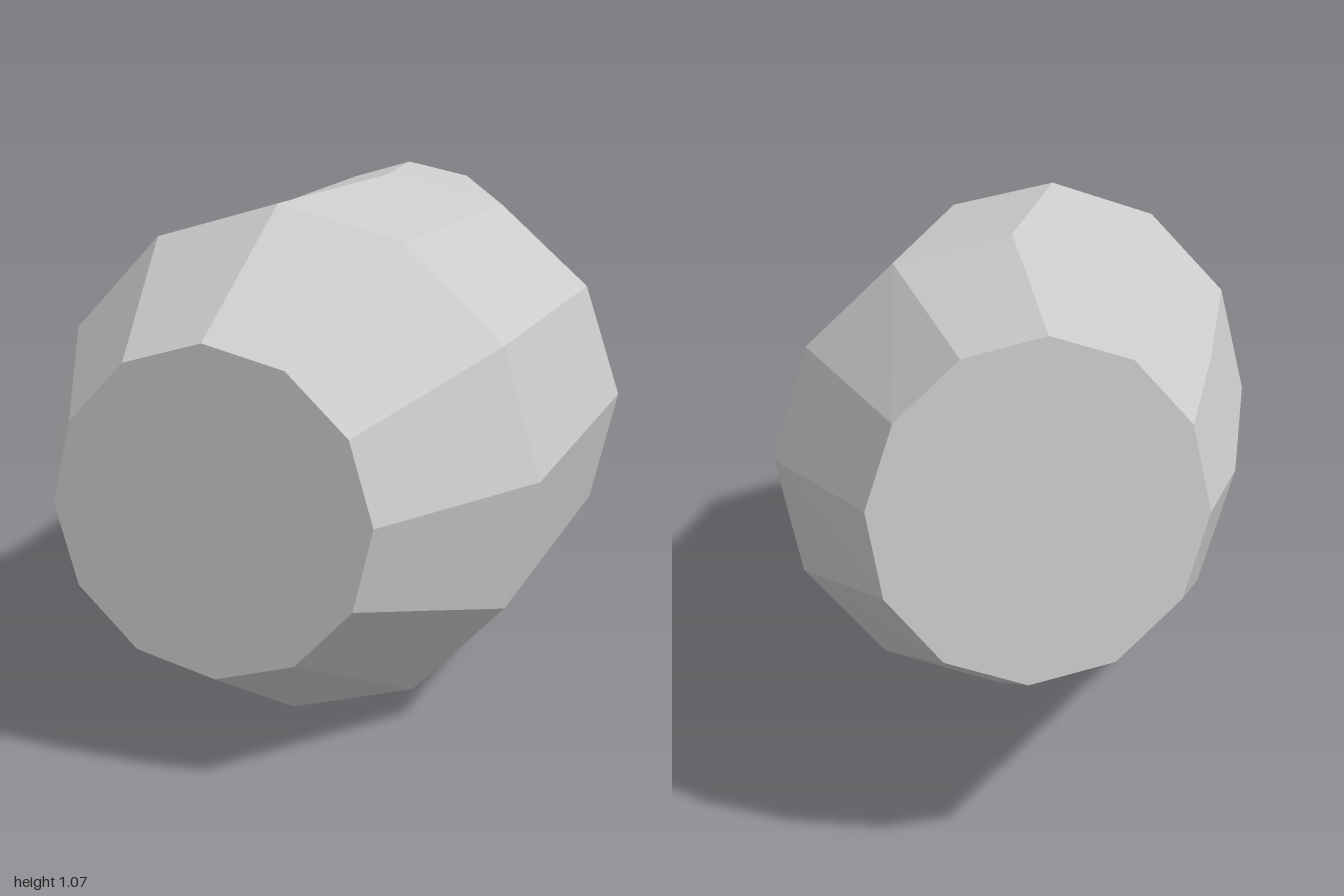
import * as THREE from 'three';

const SIDES = 12;
const TWIST = THREE.MathUtils.degToRad(1);

// Cross-sections from front to back: centre, radius, and slope of z across x and y
const SECTIONS = [
  { x: 0, y: 0.537, z: 1.0, r: 0.322, sx: 0, sy: 0 },
  { x: 0, y: 0.537, z: 0.62, r: 0.535, sx: 0, sy: 0 },
  { x: 0, y: 0.537, z: -0.13, r: 0.535, sx: -0.137, sy: 0.11 },
  { x: -0.19, y: 0.727, z: -0.9, r: 0.313, sx: -0.21, sy: 0.26 },
];

// Points of one tilted ring, counter-clockwise seen from the front
function ringPoints(s) {
  return Array.from({ length: SIDES }, (_, j) => {
    const a = TWIST + (j / SIDES) * Math.PI * 2;
    const dx = Math.cos(a) * s.r;
    const dy = Math.sin(a) * s.r;
    return new THREE.Vector3(s.x + dx, s.y + dy, s.z + s.sx * dx + s.sy * dy);
  });
}

// Unshared triangles give crisp facets
function facetMesh(name, points, material) {
  const geometry = new THREE.BufferGeometry().setFromPoints(points);
  geometry.computeVertexNormals();
  const mesh = new THREE.Mesh(geometry, material);
  mesh.name = name;
  return mesh;
}

// Band of facets between two neighbouring rings
function band(name, front, back, material) {
  const points = [];
  for (let j = 0; j < SIDES; j++) {
    const k = (j + 1) % SIDES;
    points.push(front[j], back[j], front[k], front[k], back[j], back[k]);
  }
  return facetMesh(name, points, material);
}

// Flat end disc
function cap(name, ring, section, facesFront, material) {
  const centre = new THREE.Vector3(section.x, section.y, section.z);
  const points = [];
  for (let j = 0; j < SIDES; j++) {
    const k = (j + 1) % SIDES;
    points.push(centre, ring[facesFront ? j : k], ring[facesFront ? k : j]);
  }
  return facetMesh(name, points, material);
}

export function createModel() {
  const model = new THREE.Group();
  model.name = 'bentBarrel';

  const grey = new THREE.MeshStandardMaterial({ color: 0xcccccc });
  grey.name = 'light grey';

  const rings = SECTIONS.map(ringPoints);
  const last = rings.length - 1;

  // Front taper, straight body and bent rear taper
  ['frontTaper', 'body', 'rearTaper'].forEach((name, i) => {
    model.add(band(name, rings[i], rings[i + 1], grey));
  });

  // Ends
  model.add(cap('frontCap', rings[0], SECTIONS[0], true, grey));
  model.add(cap('rearCap', rings[last], SECTIONS[last], false, grey));

  return model;
}
